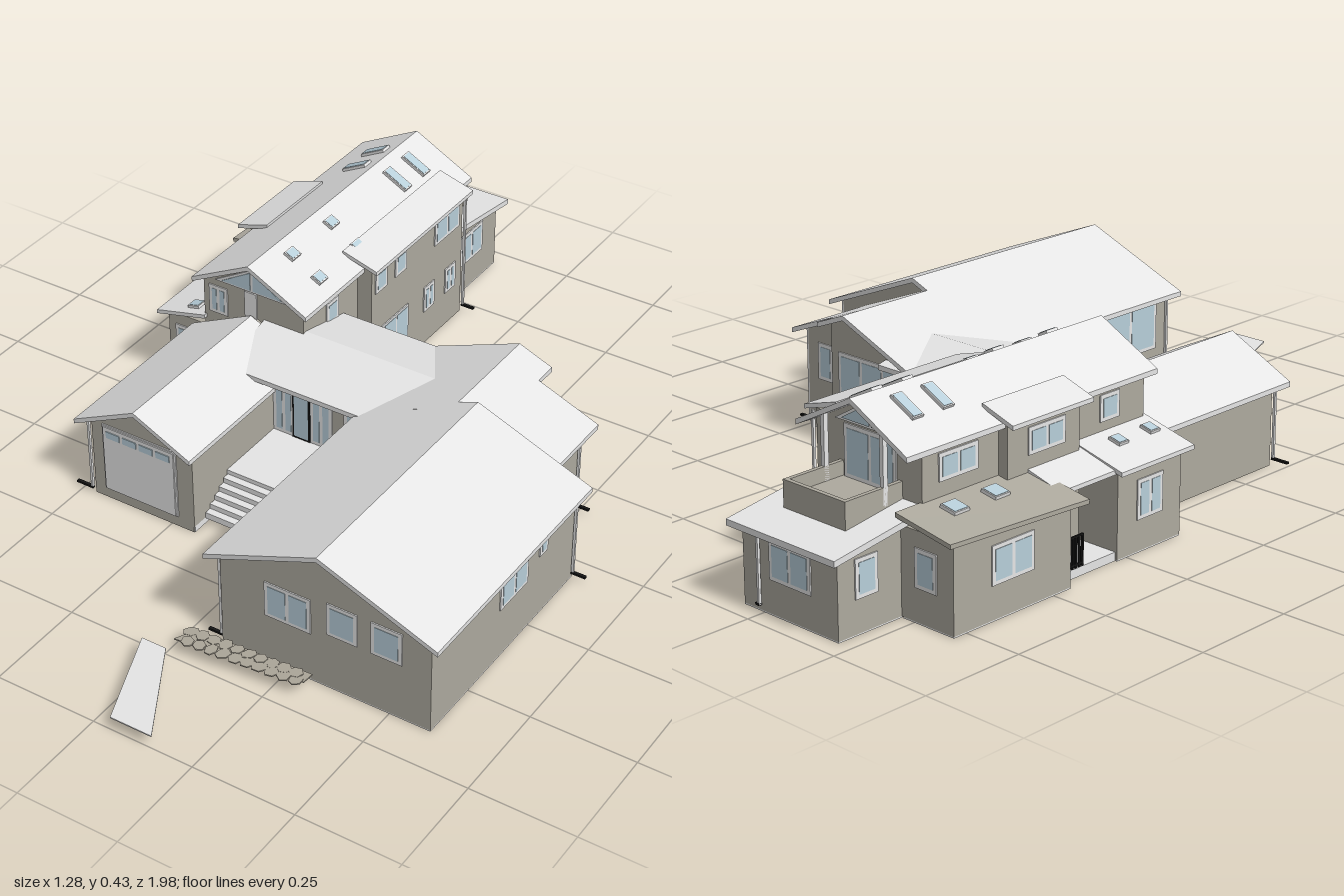
import * as THREE from 'three';

const mat = (name, color) => Object.assign(new THREE.MeshStandardMaterial({ color }), { name });

export function createModel() {
  const wall = mat('taupe wall', 0xaeaa9f), roof = mat('grey roof', 0xe6e6e6), trim = mat('white trim', 0xeeeeee);
  const glass = mat('blue glass', 0xb8cfda), dark = mat('black metal', 0x141414), stone = mat('stone', 0xaca699);
  const model = new THREE.Group();
  model.name = 'house';

  const add = (name, geo, material, parent = model) => {
    const m = new THREE.Mesh(geo, material);
    m.name = name;
    parent.add(m);
    return m;
  };
  // box given by its limits
  const box = (name, material, x0, x1, y0, y1, z0, z1) => {
    const g = new THREE.BoxGeometry(x1 - x0, y1 - y0, z1 - z0);
    g.translate((x0 + x1) / 2, (y0 + y1) / 2, (z0 + z1) / 2);
    return add(name, g, material);
  };
  // profile extruded along z, or along x when alongX (profile is then z, y)
  const prism = (name, material, pts, a, b, alongX = false) => {
    const s = new THREE.Shape(pts.map(([u, y]) => new THREE.Vector2(alongX ? -u : u, y)));
    const g = new THREE.ExtrudeGeometry(s, { depth: b - a, bevelEnabled: false });
    if (alongX) g.rotateY(Math.PI / 2).translate(a, 0, 0);
    else g.translate(0, 0, a);
    return add(name, g, material);
  };
  // sheet over four top corners: back left, back right, front right, front left
  const slab = (name, material, c, t = 0.01) => {
    const g = new THREE.BoxGeometry(1, 1, 1), p = g.attributes.position;
    for (let i = 0; i < p.count; i++) {
      const k = p.getZ(i) < 0 ? (p.getX(i) < 0 ? 0 : 1) : (p.getX(i) < 0 ? 3 : 2);
      p.setXYZ(i, c[k][0], c[k][1] - (p.getY(i) < 0 ? t : 0), c[k][2]);
    }
    g.computeVertexNormals();
    return add(name, g, material);
  };
  const T = 0.012;
  // gabled block: roof line [u0,y0, ur,yr, u1,y1], wall limits, roof and wall extents
  const gable = (name, [u0, y0, ur, yr, u1, y1], [w0, w1], [r0, r1], [a, b], base = 0.003, alongX = false) => {
    const at = u => (u < ur ? y0 + (yr - y0) * (u - u0) / (ur - u0) : yr + (y1 - yr) * (u - ur) / (u1 - ur)) - T / 2;
    prism(name + 'Roof', roof, [[u0, y0], [ur, yr], [u1, y1], [u1, y1 - T], [ur, yr - T], [u0, y0 - T]], r0, r1, alongX);
    prism(name + 'Walls', wall, [[w0, base], [w1, base], [w1, at(w1)], [ur, yr - T / 2], [w0, at(w0)]], a, b, alongX);
  };
  const floor = (x0, x1, z0, z1) => box('floor', roof, x0, x1, 0, 0.003, z0, z1);
  // framed window centred on a wall plane
  const turn = { front: 0, left: Math.PI / 2, back: Math.PI, right: -Math.PI / 2 };
  const win = (face, x, y, z, w, h, panes = 1, frame = trim, b = 0.009) => {
    const g = new THREE.Group();
    g.name = 'window';
    g.position.set(x, y, z);
    g.rotation.y = turn[face];
    add('frame', new THREE.BoxGeometry(w, h, 0.006), frame, g);
    const pw = (w - b * (panes + 1)) / panes;
    for (let i = 0; i < panes; i++) {
      const m = add('pane', new THREE.BoxGeometry(pw, h - 2 * b, 0.008), glass, g);
      m.position.x = -w / 2 + b + pw / 2 + i * (pw + b);
    }
    model.add(g);
  };

  // great hall wing, stepping down towards the back
  gable('hall', [0.05, 0.24, 0.335, 0.355, 0.625, 0.24], [0.08, 0.6], [0.03, 0.67], [0.055, 0.65]);
  gable('hallMiddle', [0.05, 0.24, 0.285, 0.335, 0.525, 0.24], [0.08, 0.49], [-0.18, 0.06], [-0.16, 0.06]);
  gable('hallBack', [0.05, 0.24, 0.285, 0.335, 0.37, 0.301], [0.08, 0.35], [-0.24, -0.18], [-0.215, -0.15]);
  floor(0.08, 0.6, 0.055, 0.65);
  floor(0.08, 0.49, -0.16, 0.055);
  floor(0.08, 0.35, -0.215, -0.16);
  win('front', 0.25, 0.173, 0.65, 0.115, 0.09, 2);
  win('front', 0.385, 0.188, 0.65, 0.075, 0.083);
  win('front', 0.493, 0.188, 0.65, 0.075, 0.083);
  win('left', 0.6, 0.178, 0.32, 0.115, 0.095, 2);
  win('left', 0.6, 0.188, 0.196, 0.034, 0.05);
  win('left', 0.6, 0.212, 0.125, 0.07, 0.037, 2);
  win('back', 0.215, 0.18, -0.215, 0.22, 0.11, 3);
  win('back', 0.43, 0.17, -0.16, 0.05, 0.09);
  win('right', 0.08, 0.165, 0.47, 0.28, 0.125, 3);

  // garage on a low white plinth
  gable('garage', [-0.5, 0.205, -0.33, 0.288, -0.18, 0.215], [-0.465, -0.187], [-0.06, 0.4], [-0.07, 0.38], 0.016);
  box('garageFloor', roof, -0.461, -0.191, 0.013, 0.016, -0.07, 0.376);
  for (const [x, z0] of [[-0.465, -0.07], [-0.191, -0.07]]) {
    box('plinthSide', wall, x, x + 0.002, 0, 0.016, z0, 0.38);
    box('plinthSideLining', trim, x + 0.002, x + 0.004, 0, 0.016, z0, 0.378);
  }
  box('plinthFront', wall, -0.463, -0.189, 0, 0.016, 0.378, 0.38);
  box('plinthFrontLining', trim, -0.461, -0.191, 0, 0.016, 0.376, 0.378);
  box('garageDoorFrame', trim, -0.434, -0.23, 0.028, 0.208, 0.376, 0.383);
  box('garageDoor', roof, -0.43, -0.235, 0.03, 0.204, 0.377, 0.386);
  for (let i = 0; i < 4; i++) box('garageDoorPane', glass, -0.42 + i * 0.046, -0.383 + i * 0.046, 0.177, 0.194, 0.379, 0.388);

  // entrance hall between the wings, on a hollow porch
  gable('entrance', [-0.24, 0.245, -0.08, 0.284, 0.09, 0.245], [-0.22, 0.06], [-0.3, 0.17], [-0.2, 0.1], 0.095, true);
  box('porchSlab', roof, -0.187, 0.08, 0.082, 0.095, -0.22, 0.25);
  box('porchFront', roof, -0.187, 0.08, 0.015, 0.082, 0.243, 0.25);
  box('porchSide', roof, -0.187, -0.181, 0.003, 0.082, -0.07, 0.243);
  box('porchMiddleWall', roof, -0.18, 0.08, 0.045, 0.082, 0.055, 0.062);
  win('front', -0.157, 0.165, 0.06, 0.058, 0.138, 2);
  win('front', -0.108, 0.165, 0.062, 0.048, 0.138, 1, dark, 0.005);
  win('front', -0.055, 0.165, 0.06, 0.06, 0.138, 2);
  win('front', 0.033, 0.193, 0.06, 0.052, 0.07);
  win('back', -0.08, 0.165, -0.22, 0.14, 0.13, 3);

  // front steps
  for (let i = 0; i < 5; i++) {
    const top = 0.084 - i * 0.013;
    box('frontStep', roof, -0.185, 0, top - 0.016, top, 0.25 + i * 0.018, 0.268 + i * 0.018);
  }

  // railing along x or z with balusters
  const railing = (x0, x1, z0, z1, y0, y1, n) => {
    const r = 0.0022;
    for (const y of [y0 + 0.008, y1]) box('rail', dark, x0 - r, x1 + r, y - r, y + r, z0 - r, z1 + r);
    for (let i = 0; i <= n; i++) {
      const x = x0 + (x1 - x0) * i / n, z = z0 + (z1 - z0) * i / n;
      box('baluster', dark, x - r, x + r, y0, y1, z - r, z + r);
    }
  };
  railing(0, 0.07, 0.248, 0.248, 0.095, 0.16, 1);
  railing(0, 0, 0.25, 0.33, 0.045, 0.16, 4);

  // back deck with side stairs
  box('backDeck', roof, -0.17, 0, 0.08, 0.095, -0.278, -0.22);
  railing(-0.165, 0, -0.275, -0.275, 0.095, 0.16, 14);
  for (let i = 0; i < 6; i++) {
    const x = i * 0.019, y = 0.082 - i * 0.013;
    box('backStep', roof, x, x + 0.02, y - 0.01, y, -0.272, -0.22);
    railing(x, x + 0.019, -0.275, -0.275, y, y + 0.065, 1);
  }

  // two-storey block
  gable('tower', [-0.49, 0.345, -0.33, 0.428, -0.17, 0.345], [-0.47, -0.19], [-0.79, -0.05], [-0.73, -0.07]);
  box('leftBayWalls', wall, -0.2, -0.15, 0, 0.345, -0.715, -0.3);
  slab('leftBayRoof', roof, [[-0.225, 0.379, -0.73], [-0.13, 0.352, -0.73], [-0.13, 0.352, -0.29], [-0.225, 0.379, -0.29]]);
  box('rightBayWalls', wall, -0.495, -0.46, 0, 0.345, -0.515, -0.3);
  slab('rightBayRoof', roof, [[-0.525, 0.35, -0.53], [-0.44, 0.378, -0.53], [-0.44, 0.378, -0.29], [-0.525, 0.35, -0.29]]);
  for (const z of [-0.072, -0.732]) {
    prism('gableGlassFrame', trim, [[-0.435, 0.348], [-0.225, 0.348], [-0.33, 0.409]], z - 0.002, z + 0.006);
    for (const s of [-1, 1])
      prism('gableGlass', glass, [[-0.33 + s * 0.004, 0.353], [-0.33 + s * 0.084, 0.353], [-0.33 + s * 0.004, 0.401]], z - 0.004, z + 0.008);
  }
  win('front', -0.428, 0.292, -0.07, 0.052, 0.075, 2);
  box('frontPanel', roof, -0.352, -0.318, 0.26, 0.345, -0.073, -0.066);
  win('left', -0.15, 0.3, -0.34, 0.05, 0.06);
  win('left', -0.15, 0.3, -0.427, 0.05, 0.06);
  win('left', -0.15, 0.297, -0.64, 0.115, 0.07, 2);
  win('left', -0.15, 0.085, -0.38, 0.165, 0.155, 3, trim, 0.006);
  win('left', -0.15, 0.13, -0.56, 0.048, 0.07, 2);
  win('left', -0.15, 0.13, -0.66, 0.048, 0.07, 2);
  win('left', -0.19, 0.28, -0.19, 0.05, 0.06);
  win('right', -0.495, 0.29, -0.4, 0.11, 0.06, 2);
  win('right', -0.47, 0.29, -0.63, 0.11, 0.06, 2);
  win('right', -0.47, 0.29, -0.18, 0.06, 0.06);

  // skylights on the slopes
  const skylight = (x, y, z, w, d, slope) => {
    const g = new THREE.Group();
    g.name = 'skylight';
    g.position.set(x, y, z);
    g.rotation.z = Math.atan(slope);
    add('curb', new THREE.BoxGeometry(w, 0.01, d), roof, g);
    add('skylightGlass', new THREE.BoxGeometry(w - 0.006, 0.012, d - 0.006), glass, g);
    model.add(g);
  };
  const S = 0.52;
  for (const z of [-0.605, -0.69]) for (const s of [-1, 1]) skylight(-0.33 + s * 0.058, 0.428 - S * 0.058 + 0.002, z, 0.072, 0.03, -s * S);
  for (const z of [-0.175, -0.34]) for (const dx of [0.04, 0.115]) skylight(-0.33 + dx, 0.43 - S * dx, z, 0.028, 0.034, -S);

  // single-storey back room with a balcony let into its roof
  box('backRoomWalls', wall, -0.465, -0.19, 0.003, 0.187, -0.955, -0.72);
  floor(-0.465, -0.19, -0.955, -0.72);
  slab('backRoomRoof', roof, [[-0.485, 0.185, -0.98], [-0.17, 0.185, -0.98], [-0.17, 0.223, -0.73], [-0.485, 0.223, -0.73]], 0.014);
  box('balconyFloor', wall, -0.41, -0.24, 0.18, 0.228, -0.88, -0.73);
  box('balconyParapet', wall, -0.415, -0.235, 0.19, 0.26, -0.885, -0.875);
  for (const x of [-0.41, -0.24]) {
    box('balconyParapet', wall, x - 0.005, x + 0.005, 0.19, 0.26, -0.885, -0.73);
    box('balconyPost', trim, x - 0.005, x + 0.005, 0.22, 0.375, -0.782, -0.77);
  }
  win('back', -0.325, 0.285, -0.73, 0.15, 0.115, 2);
  win('left', -0.19, 0.123, -0.83, 0.11, 0.085, 2);
  win('back', -0.33, 0.12, -0.955, 0.12, 0.085, 2);
  win('right', -0.465, 0.12, -0.88, 0.06, 0.085);

  // lean-to rooms on the right side
  box('leanToWalls', wall, -0.585, -0.46, 0.003, 0.2, -0.28, -0.08);
  floor(-0.585, -0.47, -0.28, -0.08);
  slab('leanToRoof', roof, [[-0.605, 0.205, -0.29], [-0.465, 0.24, -0.29], [-0.465, 0.24, -0.06], [-0.605, 0.205, -0.06]]);
  slab('sidePorchRoof', roof, [[-0.585, 0.205, -0.455], [-0.465, 0.238, -0.455], [-0.465, 0.238, -0.28], [-0.585, 0.205, -0.28]]);
  box('backLeanToWalls', wall, -0.61, -0.46, 0.003, 0.198, -0.785, -0.45);
  floor(-0.61, -0.47, -0.785, -0.45);
  slab('backLeanToRoof', wall, [[-0.617, 0.203, -0.8], [-0.465, 0.228, -0.8], [-0.465, 0.228, -0.43], [-0.642, 0.198, -0.43]]);
  win('front', -0.537, 0.12, -0.08, 0.055, 0.1);
  win('right', -0.585, 0.12, -0.18, 0.08, 0.09, 2);
  win('right', -0.61, 0.12, -0.62, 0.12, 0.085, 2);
  win('back', -0.535, 0.12, -0.785, 0.06, 0.085);
  win('right', -0.495, 0.095, -0.365, 0.065, 0.17, 1, dark, 0.005);
  box('sidePorchFloor', roof, -0.58, -0.46, 0, 0.02, -0.45, -0.28);
  railing(-0.578, -0.578, -0.44, -0.38, 0.02, 0.09, 6);
  for (const z of [-0.1, -0.2]) skylight(-0.515, 0.229, z, 0.032, 0.03, 0.25);
  for (const z of [-0.575, -0.69]) skylight(-0.52, 0.221, z, 0.042, 0.042, 0.18);

  // downspouts with splash ends
  for (const [x, z, h, dx] of [[0.605, 0.06, 0.235, 0.03], [0.495, -0.155, 0.25, 0.03], [-0.145, -0.72, 0.34, 0.03],
    [0.075, 0.645, 0.235, -0.03], [-0.47, 0.385, 0.205, -0.04], [-0.24, -0.96, 0.18, 0.005]]) {
    box('downspout', trim, x - 0.003, x + 0.003, 0.015, h, z - 0.003, z + 0.003);
    box('splashEnd', dark, Math.min(x, x + dx) - 0.003, Math.max(x, x + dx) + 0.003, 0.014, 0.019, z - 0.004, z + 0.004);
  }

  // garden path and stone bed
  slab('path', roof, [[-0.048, 0.034, 0.765], [0.015, 0.034, 0.765], [0.15, 0.034, 1], [0.045, 0.034, 1]], 0.003);
  slab('stoneBed', stone, [[0.035, 0.033, 0.68], [0.32, 0.033, 0.665], [0.318, 0.033, 0.695], [0.01, 0.033, 0.73]], 0.003);
  let seed = 7;
  const rnd = () => (seed = (seed * 16807) % 2147483647) / 2147483647;
  for (let i = 0; i < 10; i++) for (let j = 0; j < 2; j++) {
    const g = new THREE.CylinderGeometry(0.016, 0.016, 0.003, 6).toNonIndexed();
    g.computeVertexNormals();
    const m = add('stone', g, stone);
    m.position.set(0.028 + i * 0.029 + j * 0.012, 0.032 + rnd() * 0.002, 0.691 - i * 0.0012 + j * (0.031 - i * 0.0013));
    m.scale.set(0.95 + rnd() * 0.25, 1, 0.85 + rnd() * 0.2);
    m.rotation.y = rnd() * 3;
  }
  return model;
}
